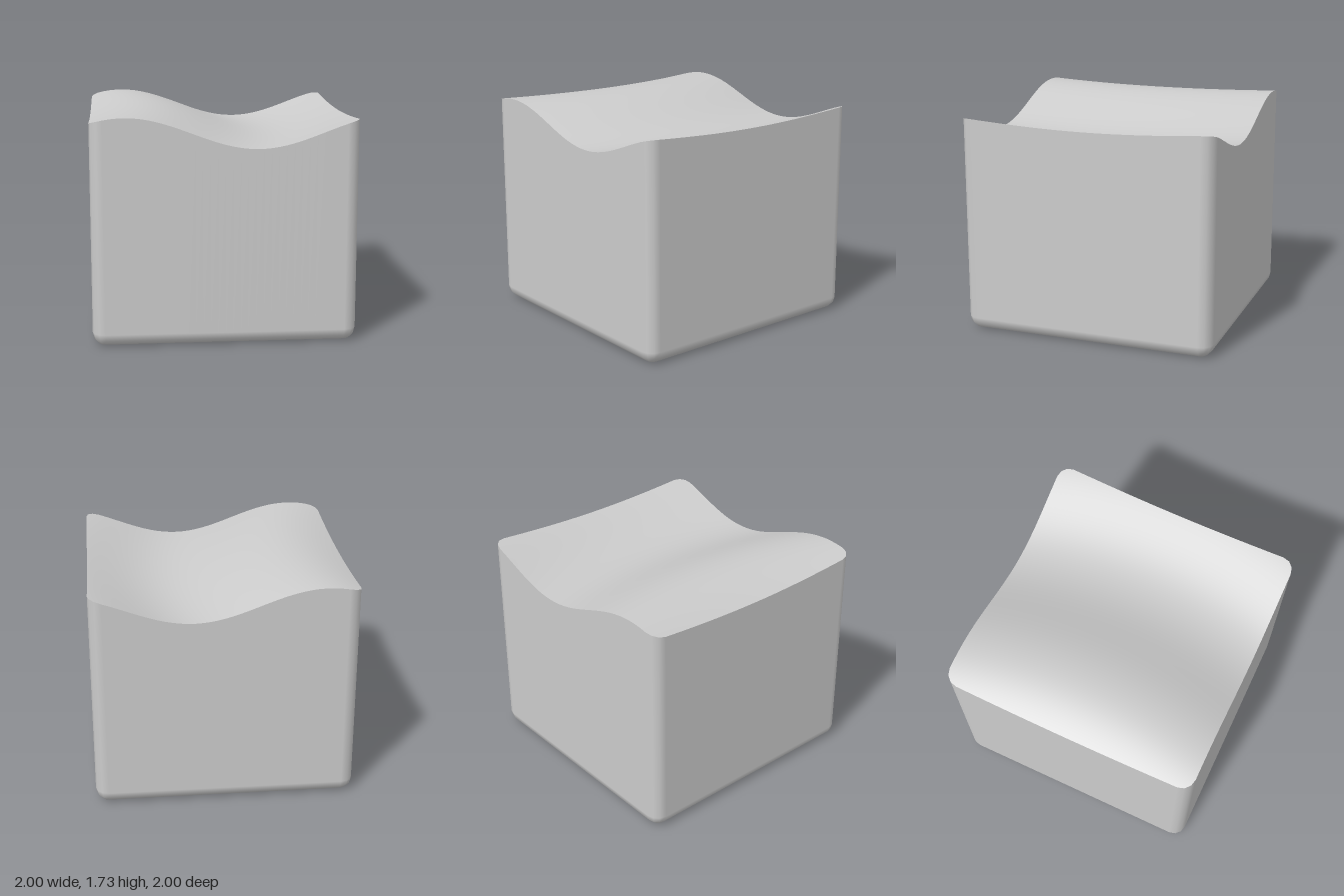
import * as THREE from 'three';

const R = 0.1;          // edge rounding
const STEPS = 32;       // divisions along each straight side
const ARC = 3;          // divisions of each rounded edge
const LOOPS = 32;       // loops across the wavy top

// Wave height: a cosine across x whose valley bows sideways along z
function height(x, z) {
  const valley = 0.24 + 0.145 * (1 - z * z);
  return 1.609 - 0.1185 * Math.cos(3.2 * (x - valley));
}

function waveNormal(x, z) {
  const e = 0.001;
  return new THREE.Vector3(
    (height(x - e, z) - height(x + e, z)) / (2 * e), 1,
    (height(x, z - e) - height(x, z + e)) / (2 * e)).normalize();
}

// Rounded square: corner centre (cx, cz) plus outward direction (nx, nz)
function outline() {
  const pts = [];
  const c = 1 - R;
  for (let k = 0; k < 4; k++) {
    const a = k * Math.PI / 2, co = Math.cos(a), si = Math.sin(a);
    const add = (u, v, ang) => pts.push({
      cx: u * co - v * si, cz: u * si + v * co,
      nx: Math.cos(ang + a), nz: Math.sin(ang + a),
    });
    for (let i = 0; i <= STEPS; i++) add(c, -c + 2 * c * i / STEPS, 0);
    for (let i = 1; i < ARC; i++) add(c, c, i / ARC * Math.PI / 2);
  }
  return pts;
}

// Skin a list of closed rings, each an array of { p, n }
function loft(rings) {
  const count = rings[0].length;
  const pos = [], nor = [], index = [];
  for (const ring of rings) {
    for (const { p, n } of ring) {
      pos.push(p.x, p.y, p.z);
      nor.push(n.x, n.y, n.z);
    }
  }
  for (let i = 0; i < rings.length - 1; i++) {
    for (let j = 0; j < count; j++) {
      const a = i * count + j, b = i * count + (j + 1) % count;
      index.push(a, a + count, b, b, a + count, b + count);
    }
  }
  const geo = new THREE.BufferGeometry();
  geo.setAttribute('position', new THREE.Float32BufferAttribute(pos, 3));
  geo.setAttribute('normal', new THREE.Float32BufferAttribute(nor, 3));
  geo.setIndex(index);
  return geo;
}

export function createModel() {
  const group = new THREE.Group();
  group.name = 'wavyBlock';
  const material = new THREE.MeshStandardMaterial({ color: 0xcccccc });
  const path = outline();
  const vec = (x, y, z) => new THREE.Vector3(x, y, z);

  // Flat base, rounded lower edge and straight walls
  const bodyRings = [path.map(() => ({ p: vec(0, 0, 0), n: vec(0, -1, 0) }))];
  for (let i = 0; i <= ARC; i++) {
    const t = i / ARC * Math.PI / 2, s = Math.sin(t), c = Math.cos(t);
    bodyRings.push(path.map(({ cx, cz, nx, nz }) => ({
      p: vec(cx + R * s * nx, R * (1 - c), cz + R * s * nz),
      n: vec(nx * s, -c, nz * s),
    })));
  }
  bodyRings.push(path.map(({ cx, cz, nx, nz }) => {
    const x = cx + R * nx, z = cz + R * nz;
    return { p: vec(x, height(x, z), z), n: vec(nx, 0, nz) };
  }));
  const body = new THREE.Mesh(loft(bodyRings), material);
  body.name = 'body';
  group.add(body);

  // Wavy top, with a sharp rim where it meets the walls
  const topRings = [];
  for (let i = 0; i <= LOOPS; i++) {
    const s = 1 - i / LOOPS;
    topRings.push(path.map(({ cx, cz, nx, nz }) => {
      const x = s * (cx + R * nx), z = s * (cz + R * nz);
      return { p: vec(x, height(x, z), z), n: waveNormal(x, z) };
    }));
  }
  const top = new THREE.Mesh(loft(topRings), material);
  top.name = 'wavyTop';
  group.add(top);

  return group;
}
